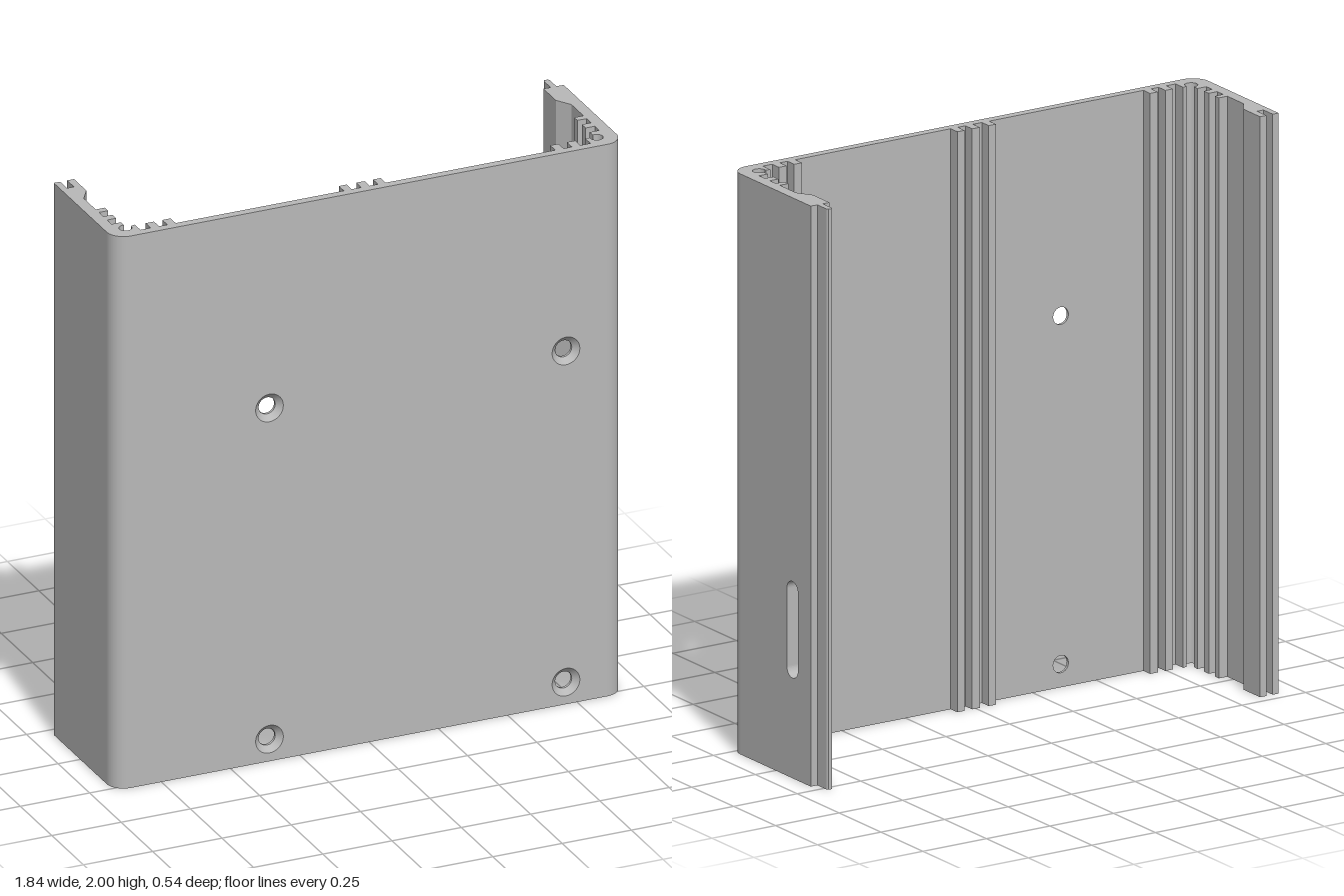
import * as THREE from 'three';

const H = 2;
const FLOOR = 0.24, FACE = 0.27;              // back and front of the face plate
const HOLES = [[-0.36, 0.08], [-0.36, 1.28], [0.71, 0.08], [0.71, 1.28]];
const SLOT = { z: -0.1, r: 0.033, y0: 0.345, y1: 0.678 };

const metal = new THREE.MeshStandardMaterial({ color: 0xb8b8b8, side: THREE.DoubleSide });
metal.name = 'greyAluminium';

const shapeOf = (pts) => new THREE.Shape(pts.map(([a, b]) => new THREE.Vector2(a, b)));
const extrude = (shape, depth) =>
  new THREE.ExtrudeGeometry(shape, { depth, bevelEnabled: false, curveSegments: 24 });

// points on an arc, angles in degrees
function arc(cx, cy, r, a0, a1, n) {
  return Array.from({ length: n + 1 }, (_, i) => {
    const a = THREE.MathUtils.degToRad(a0 + ((a1 - a0) * i) / n);
    return [cx + r * Math.cos(a), cy + r * Math.sin(a)];
  });
}

// extrude an (x, z) section over the full height
function column(pts) {
  return extrude(shapeOf(pts.map(([x, z]) => [x, -z])), H).rotateX(-Math.PI / 2);
}

// rectangular face layer with round holes
function plateLayer(z, depth, r) {
  const w = 0.812;
  const s = shapeOf([[-w, 0], [w, 0], [w, H], [-w, H]]);
  for (const [x, y] of HOLES) s.holes.push(new THREE.Path().absarc(x, y, r, 0, Math.PI * 2, true));
  return extrude(s, depth).translate(0, 0, z);
}

// rounded corner with card-guide teeth and an open screw channel
function cornerSection(side) {
  const pts = [[0.88, -0.06]];
  for (const [a, b] of [[0.035, 0.06], [0.095, 0.125]])
    pts.push([0.88, a], [0.847, a], [0.847, b], [0.88, b]);
  pts.push([0.88, 0.16], [0.845, 0.16],
    ...arc(0.85, 0.205, 0.022, -100, 190, 24),
    [0.827, 0.199], [0.812, 0.195], [0.812, FACE],
    ...arc(0.86, 0.21, 0.06, 90, 0, 16), [0.92, -0.06]);
  return pts.map(([x, z]) => [x * side, z]);
}

// upright rib on the floor, cleared in a circle around nearby holes
function ribGeometries(x0, x1) {
  const R = 0.07, n = 8;
  const xs = Array.from({ length: n + 1 }, (_, i) => x0 + ((x1 - x0) * i) / n);
  const cuts = HOLES.filter(([hx]) => xs.some((x) => Math.abs(x - hx) < R));
  const half = (x, hx) => Math.sqrt(Math.max(0, R * R - (x - hx) ** 2));
  const edges = [xs.map((x) => [x, 0])];
  for (const [hx, hy] of cuts) {
    edges.push(xs.map((x) => [x, hy - half(x, hx)]), xs.map((x) => [x, hy + half(x, hx)]));
  }
  edges.push(xs.map((x) => [x, H]));
  const out = [];
  for (let i = 0; i < edges.length; i += 2) {
    const outline = [...edges[i], ...edges[i + 1].slice().reverse()];
    out.push(extrude(shapeOf(outline), 0.04).translate(0, 0, 0.2));
  }
  return out;
}

// strip of the thick left rim from z = outer to z = inner, cut by its part of the slot
function rimBand(zFar, zSeam) {
  const { z: zc, r, y0, y1 } = SLOT;
  const dir = Math.sign(zFar - zSeam);
  const aSeam = Math.acos((zSeam - zc) / r * dir);
  const upper = [], lower = [];
  for (let i = 0; i <= 14; i++) {
    const a = aSeam * (1 - i / 14);
    const z = zc + dir * r * Math.cos(a), h = r * Math.sin(a);
    upper.push([-z, y1 - r + h]);
    lower.push([-z, y0 + r - h]);
  }
  const s = shapeOf([[-zFar, 0], [-zSeam, 0], ...lower, ...upper.reverse(), [-zSeam, H], [-zFar, H]]);
  const g = extrude(s, 0.04).rotateY(Math.PI / 2).translate(0.88, 0, 0);
  // thicken the inner face, sloping back to the wall
  const p = g.attributes.position;
  for (let i = 0; i < p.count; i++) {
    if (p.getX(i) > 0.9) continue;
    const t = THREE.MathUtils.clamp((p.getZ(i) + 0.112) / 0.052, 0, 1);
    p.setX(i, 0.847 + 0.033 * t);
  }
  g.computeVertexNormals();
  return g;
}

export function createModel() {
  const model = new THREE.Group();
  model.name = 'enclosureShell';
  const add = (name, geometry) => {
    const m = new THREE.Mesh(geometry, metal);
    m.name = name;
    model.add(m);
    return m;
  };

  // face plate with countersunk holes
  add('facePlateInner', plateLayer(FLOOR, 0.01, 0.03));
  add('facePlateOuter', plateLayer(FLOOR + 0.01, 0.02, 0.05));
  for (const [x, y] of HOLES) {
    const sink = new THREE.LatheGeometry(
      [new THREE.Vector2(0.05, 0.02), new THREE.Vector2(0.03, 0)], 48);
    add('countersink', sink.rotateX(Math.PI / 2).translate(x, y, FLOOR + 0.01));
  }

  // corners and side walls
  add('leftCornerWall', column(cornerSection(1)));
  add('rightCornerWall', column(cornerSection(-1)));

  // floor ribs: one middle set of three, two pairs at the sides
  const ribs = [[-0.078, -0.05], [-0.015, 0.015], [0.045, 0.073]];
  for (const [a, b] of [[0.685, 0.715], [0.745, 0.775]]) ribs.push([a, b], [-b, -a]);
  for (const [a, b] of ribs) for (const g of ribGeometries(a, b)) add('floorRib', g);

  // left rim with slot and tongue
  add('leftRimOuter', rimBand(-0.21, -0.112));
  add('leftRimSlope', rimBand(-0.06, -0.112));
  add('leftTongue', column([[0.873, -0.21], [0.873, -0.263], [0.877, -0.27],
    [0.89, -0.27], [0.894, -0.263], [0.894, -0.21]]));

  // right rim with groove
  add('rightRim', column([[-0.92, -0.06], [-0.92, -0.21], [-0.897, -0.21], [-0.897, -0.155],
    [-0.872, -0.155], [-0.872, -0.21], [-0.847, -0.21], [-0.847, -0.112], [-0.88, -0.06]]));

  return model;
}
